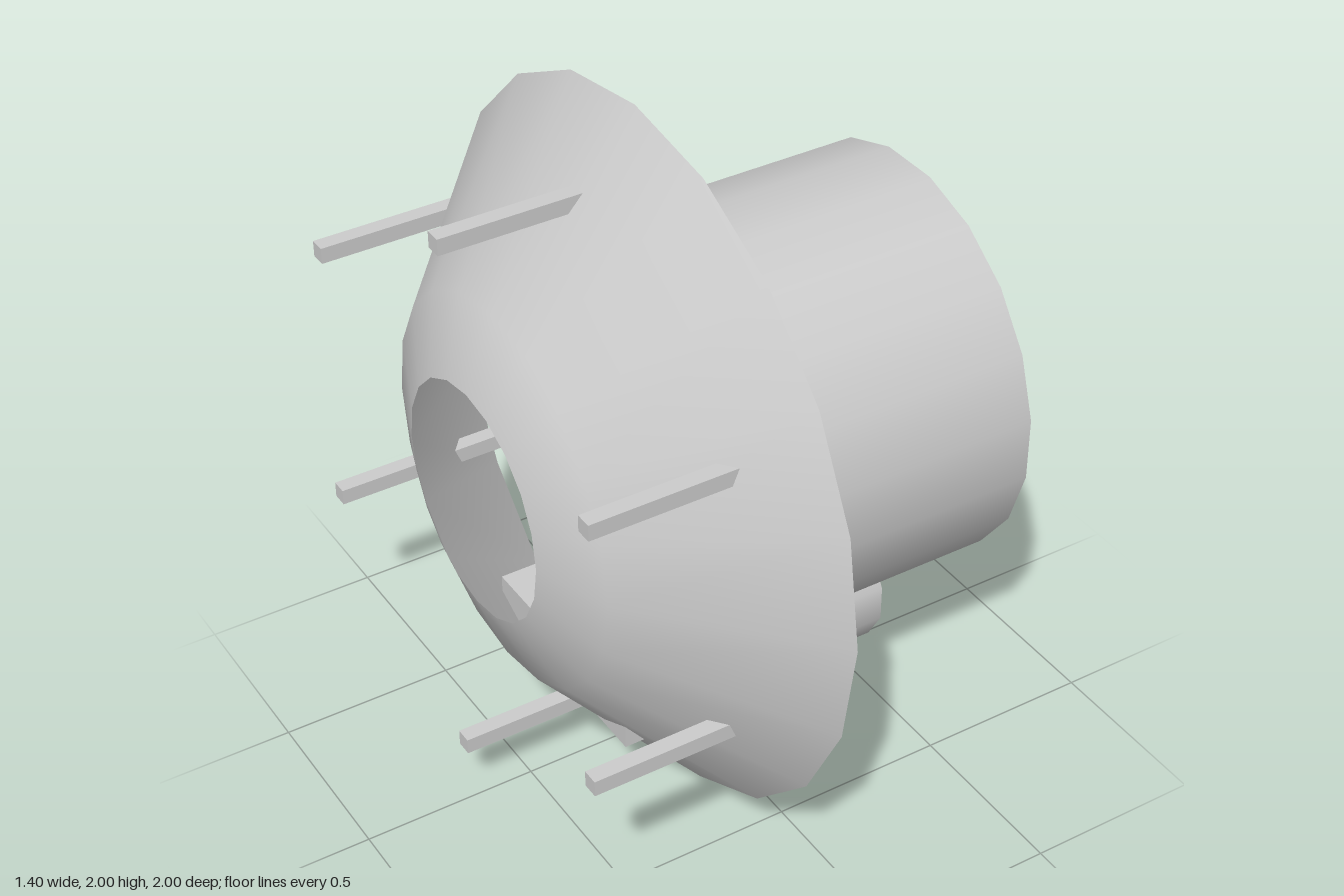
import * as THREE from 'three';

const grey = new THREE.MeshStandardMaterial({ color: 0xcccccc });
const greyOpen = new THREE.MeshStandardMaterial({ color: 0xcccccc, side: THREE.DoubleSide });
const AXIS_Y = 1.003; // height of the common axis along x

export function createModel() {
  const model = new THREE.Group();

  const add = (name, geometry, x, y, z, material = grey) => {
    const mesh = new THREE.Mesh(geometry, material);
    mesh.name = name;
    mesh.position.set(x, y, z);
    model.add(mesh);
    return mesh;
  };

  // Cylinder lying along x, with a flat side underneath
  const drum = (radius, length, sides) =>
    new THREE.CylinderGeometry(radius, radius, length, sides)
      .rotateY(Math.PI / sides)
      .rotateZ(-Math.PI / 2);

  // Thin open dish with a round hole in its crown
  const profile = [[0.33, -0.635], [0.54, -0.555], [1, -0.14]]
    .map(([r, x]) => new THREE.Vector2(r, x));
  const dish = new THREE.LatheGeometry(profile, 20).rotateZ(-Math.PI / 2);
  add('dish', dish, 0, AXIS_Y, 0, greyOpen);

  // Main drum and the small wheel under it
  add('mainDrum', drum(0.583, 0.665, 20), 0.363, AXIS_Y + 0.002, 0);
  add('smallWheel', drum(0.207, 0.165, 12), 0.447, 0.295, 0);

  // Flat plate that pokes through the lower dish
  add('basePlate', new THREE.BoxGeometry(0.665, 0.12, 0.665), -0.057, 0.36, 0);

  // Ring of six square rods through the dish
  for (let i = 0; i < 6; i++) {
    const a = (i * Math.PI) / 3;
    add('rod' + (i + 1), new THREE.BoxGeometry(0.62, 0.046, 0.046),
      -0.39, AXIS_Y + 0.793 * Math.cos(a), 0.793 * Math.sin(a));
  }

  return model;
}
